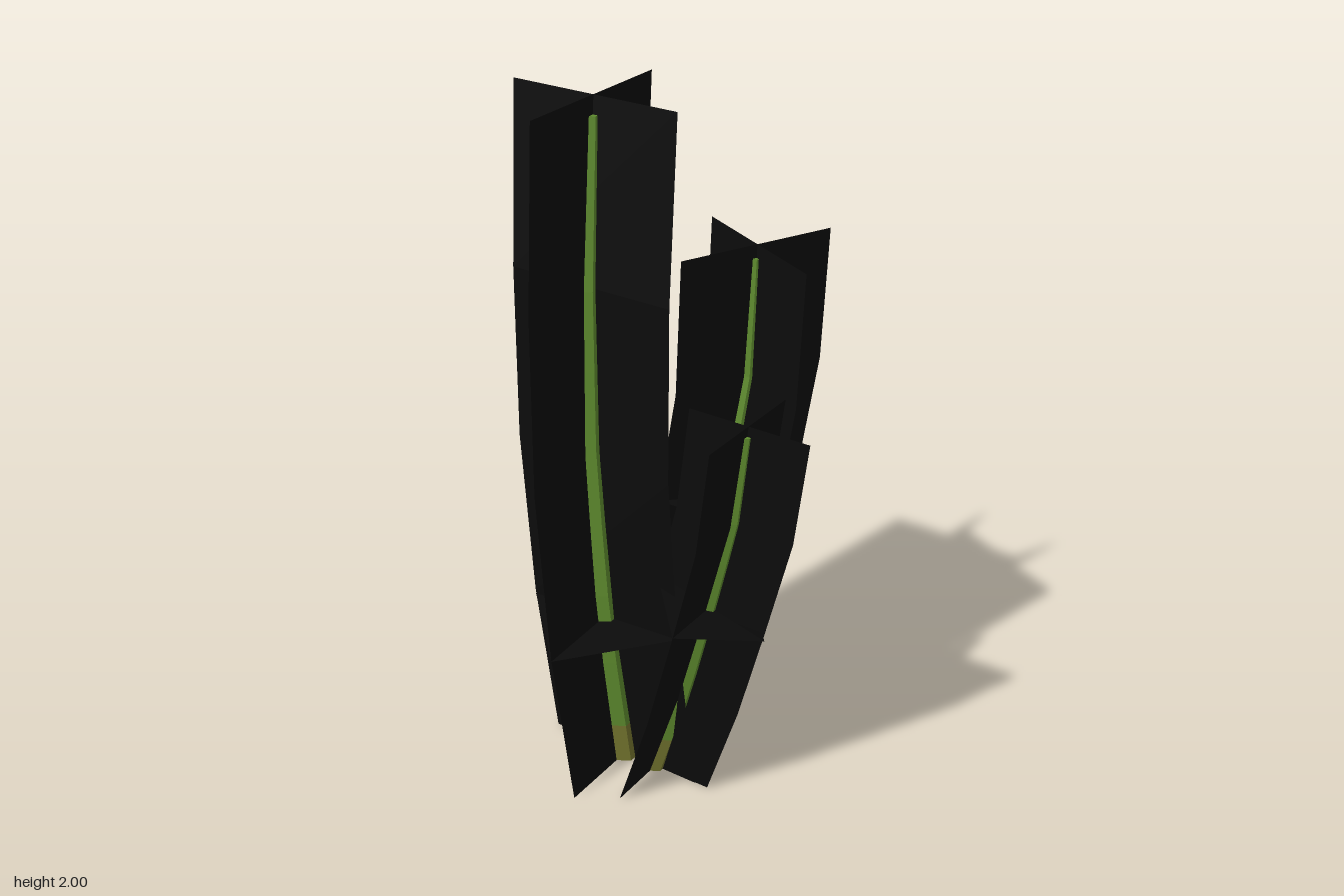
import * as THREE from 'three';

// Each stalk: total height, half width of its cards, turn about y, stem radii,
// node height, and the centre line [x, z] at five evenly spaced heights
const STALKS = [
  { name: 'tallStalk', h: 2, r: 0.25, turn: 0, base: 0.043, tip: 0.017, node: 0.5,
    line: [[-0.14, 0.13], [-0.17, 0.17], [-0.2, 0.17], [-0.2, 0.16], [-0.2, 0.12]] },
  { name: 'middleStalk', h: 1.555, r: 0.233, turn: -0.45, base: 0.034, tip: 0.012, node: 0.8,
    line: [[-0.08, -0.005], [-0.03, -0.065], [0.02, -0.16], [0.06, -0.21], [0.075, -0.215]] },
  { name: 'shortStalk', h: 1.22, r: 0.181, turn: 0, base: 0.03, tip: 0.013, node: 0.63,
    line: [[-0.03, 0.128], [0.07, 0.128], [0.152, 0.128], [0.23, 0.128], [0.27, 0.128]] },
];

export function createModel() {
  const mat = (name, color, side = THREE.FrontSide) => {
    const m = new THREE.MeshStandardMaterial({ color, side, flatShading: true });
    m.name = name;
    return m;
  };
  const black = mat('leafBlack', 0x0b0b0b, THREE.DoubleSide);
  const green = mat('stemGreen', 0x5e8b2e);
  const olive = mat('footOlive', 0x74752f);

  const model = new THREE.Group();
  model.name = 'stalkCluster';

  for (const s of STALKS) {
    const group = new THREE.Group();
    group.name = s.name;
    model.add(group);

    // Centre of the stalk at height y
    const centre = (y) => {
      const t = THREE.MathUtils.clamp(y / s.h, 0, 1) * 4;
      const i = Math.min(3, Math.floor(t));
      const [a, b] = [s.line[i], s.line[i + 1]];
      return [a[0] + (b[0] - a[0]) * (t - i), a[1] + (b[1] - a[1]) * (t - i)];
    };
    // Slide every level of an upright geometry onto the centre line
    const bend = (geo) => {
      const p = geo.attributes.position;
      for (let i = 0; i < p.count; i++) {
        const [x, z] = centre(p.getY(i));
        p.setXYZ(i, p.getX(i) + x, p.getY(i), p.getZ(i) + z);
      }
      geo.computeVertexNormals();
      return geo;
    };
    const add = (name, geo, material) => {
      const mesh = new THREE.Mesh(geo, material);
      mesh.name = name;
      group.add(mesh);
      return mesh;
    };

    // Two upright crossed cards
    for (let k = 0; k < 2; k++) {
      const card = new THREE.PlaneGeometry(2 * s.r, s.h, 1, 4);
      card.translate(0, s.h / 2, 0).rotateY(s.turn + k * Math.PI / 2);
      add('leafCard' + (k + 1), bend(card), black);
    }

    // Tapered stem with an olive foot
    const top = s.h * 0.975;
    const radius = (y) => s.base + (s.tip - s.base) * y / top;
    const stemPart = (y0, y1, rows) => bend(
      new THREE.CylinderGeometry(radius(y1), radius(y0), y1 - y0, 6, rows)
        .rotateY(s.turn).translate(0, (y0 + y1) / 2, 0));
    add('foot', stemPart(0, 0.13, 1), olive);
    add('stem', stemPart(0.13, top, 8), green);

    // Square card across the stem, its corners on the upright cards
    const [x, z] = centre(s.node);
    const [x0, z0] = centre(s.node - 0.1);
    const [x1, z1] = centre(s.node + 0.1);
    const node = add('nodeCard',
      new THREE.CircleGeometry(s.r, 4).rotateX(-Math.PI / 2).rotateY(s.turn), black);
    node.position.set(x, s.node, z);
    node.quaternion.setFromUnitVectors(new THREE.Vector3(0, 1, 0),
      new THREE.Vector3(x1 - x0, 0.2, z1 - z0).normalize());
  }
  return model;
}
